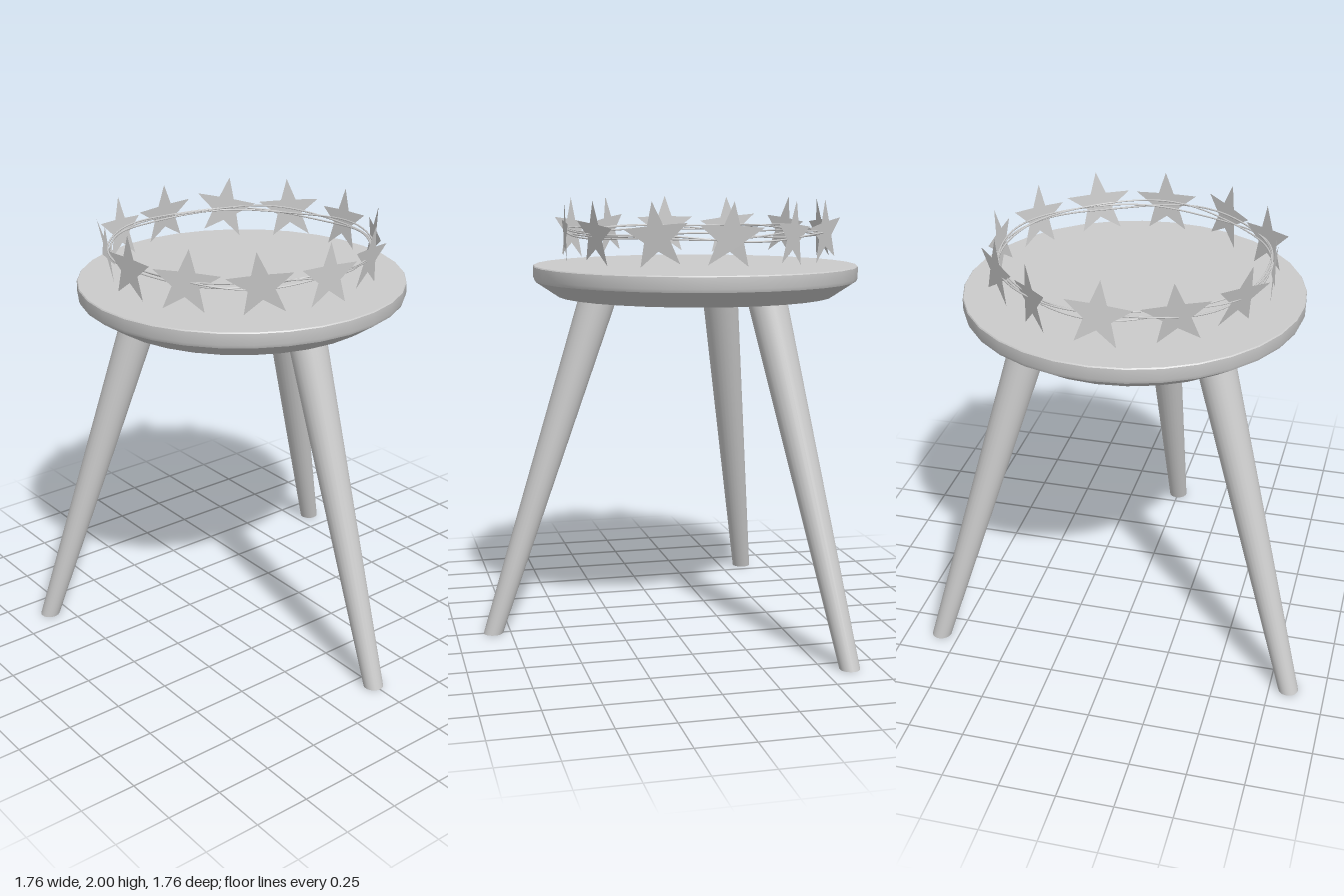
import * as THREE from 'three';
import { toCreasedNormals } from 'three/addons/utils/BufferGeometryUtils.js';

export function createModel() {
  const grey = new THREE.MeshStandardMaterial({ color: 0xcccccc });
  const thin = new THREE.MeshStandardMaterial({ color: 0xcccccc, side: THREE.DoubleSide });
  const model = new THREE.Group();
  model.name = 'stool';
  // Everything is arranged around the seat's axis
  const body = new THREE.Group();
  body.name = 'stoolBody';
  body.position.x = -0.135;
  model.add(body);

  const add = (parent, name, geometry, material = grey) => {
    const mesh = new THREE.Mesh(geometry, material);
    mesh.name = name;
    parent.add(mesh);
    return mesh;
  };

  // Round seat with a bevelled underside
  const profile = [[0, 1.56], [0.635, 1.56], [0.74, 1.63], [0.746, 1.645], [0.746, 1.695], [0.742, 1.7], [0, 1.7]]
    .map(([r, y]) => new THREE.Vector2(r, y));
  add(body, 'seat', toCreasedNormals(new THREE.LatheGeometry(profile, 32), 0.5));

  // Three splayed, tapered legs with feet cut level with the floor
  const legHeight = 1.62;
  const legGeometry = new THREE.CylinderGeometry(0.09, 0.045, legHeight, 24);
  legGeometry.translate(0, legHeight / 2, 0);
  legGeometry.applyMatrix4(new THREE.Matrix4().makeShear(0, 0, -0.327, 0, 0, 0));
  legGeometry.translate(0.965, 0, 0);
  for (let i = 0; i < 3; i++) {
    add(body, 'leg' + (i + 1), legGeometry).rotation.y = (i * Math.PI * 2) / 3;
  }

  // Garland: loosely twisted wire loops
  const garland = new THREE.Group();
  garland.name = 'starGarland';
  body.add(garland);
  for (let k = 0; k < 3; k++) {
    const points = [];
    for (let i = 0; i < 36; i++) {
      const a = (i / 36) * Math.PI * 2;
      const r = 0.588 + 0.009 * Math.sin(3 * a + k * 2.1) + 0.006 * Math.cos(5 * a + k * 1.3);
      const y = 1.848 + 0.013 * Math.sin(2 * a + k * 2.1) + 0.007 * Math.sin(5 * a + k);
      points.push(new THREE.Vector3(r * Math.cos(a), y, r * Math.sin(a)));
    }
    const path = new THREE.CatmullRomCurve3(points, true);
    add(garland, 'wire' + (k + 1), new THREE.TubeGeometry(path, 120, 0.004, 6, true));
  }

  // Five-pointed flat star
  const star = new THREE.Shape();
  for (let i = 0; i < 10; i++) {
    const r = i % 2 ? 0.061 : 0.151;
    const a = Math.PI / 2 + (i * Math.PI) / 5;
    star[i ? 'lineTo' : 'moveTo'](r * Math.cos(a), r * Math.sin(a));
  }
  star.closePath();
  const starGeometry = new THREE.ShapeGeometry(star);

  // Twelve stars, each turned, leaning and rolled a little (degrees)
  const yaw = [0, 1, 10, 4, 11, -19, -3, 7, 10, 0, 17, -14];
  const lean = [8, 6, 7, 0, 5, 3, 1, 14, 8, -6, 3, 2];
  const roll = [3, -6, 5, 2, -7, 6, 0, 8, -5, 4, -8, 5];
  const rad = THREE.MathUtils.degToRad;
  for (let i = 0; i < 12; i++) {
    const a = rad(i * 30);
    const mesh = add(garland, 'star' + (i + 1), starGeometry, thin);
    mesh.position.set(0.605 * Math.sin(a), 1.85, -0.605 * Math.cos(a));
    mesh.rotation.set(rad(-lean[i]), -a - rad(yaw[i]), rad(roll[i]), 'YXZ');
  }
  return model;
}
